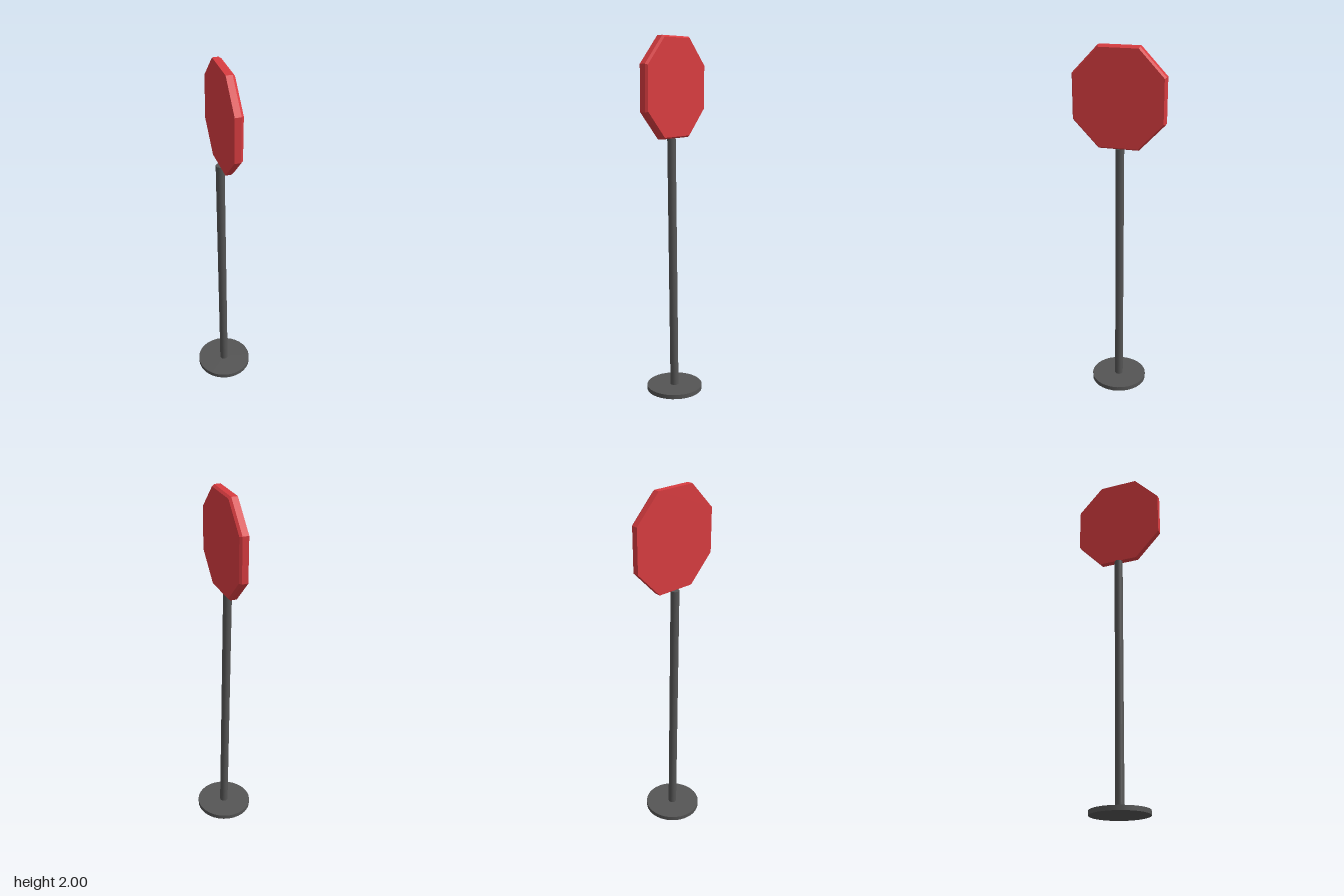
import * as THREE from 'three';
import { ConvexGeometry } from 'three/addons/geometries/ConvexGeometry.js';

const metal = new THREE.MeshStandardMaterial({ color: 0x555555 });
const red = new THREE.MeshStandardMaterial({ color: 0xd83c40 });

// Octagon ring in the y-z plane, at a given x and inset from the rim
function octagon(x, inset) {
  const w = 0.25 - inset, h = 0.27 - inset;
  const cz = 0.11 - inset * 0.4, cy = 0.122 - inset * 0.4;
  const ring = [];
  for (const sy of [-1, 1]) for (const sz of [-1, 1]) {
    ring.push(new THREE.Vector3(x, 1.73 + sy * h, sz * cz));
    ring.push(new THREE.Vector3(x, 1.73 + sy * cy, sz * w));
  }
  return ring;
}

function cylinder(name, radius, height, sides, y) {
  const mesh = new THREE.Mesh(new THREE.CylinderGeometry(radius, radius, height, sides), metal);
  mesh.name = name;
  mesh.position.y = y;
  return mesh;
}

export function createModel() {
  const model = new THREE.Group();
  model.name = 'roadSign';

  // Base and pole lean together, slightly towards -x
  const stand = new THREE.Group();
  stand.name = 'stand';
  stand.add(cylinder('base', 0.159, 0.025, 32, 0.0125));
  stand.add(cylinder('pole', 0.0235, 1.443, 16, 0.7315));
  stand.rotation.z = 0.0147;
  stand.position.y = 0.0024;
  model.add(stand);

  // Upright octagonal panel, bevelled on its +x face only
  const panel = new THREE.Mesh(
    new ConvexGeometry([...octagon(-0.027, 0), ...octagon(0.007, 0), ...octagon(0.02, 0.009)]), red);
  panel.name = 'signPanel';
  model.add(panel);

  return model;
}
